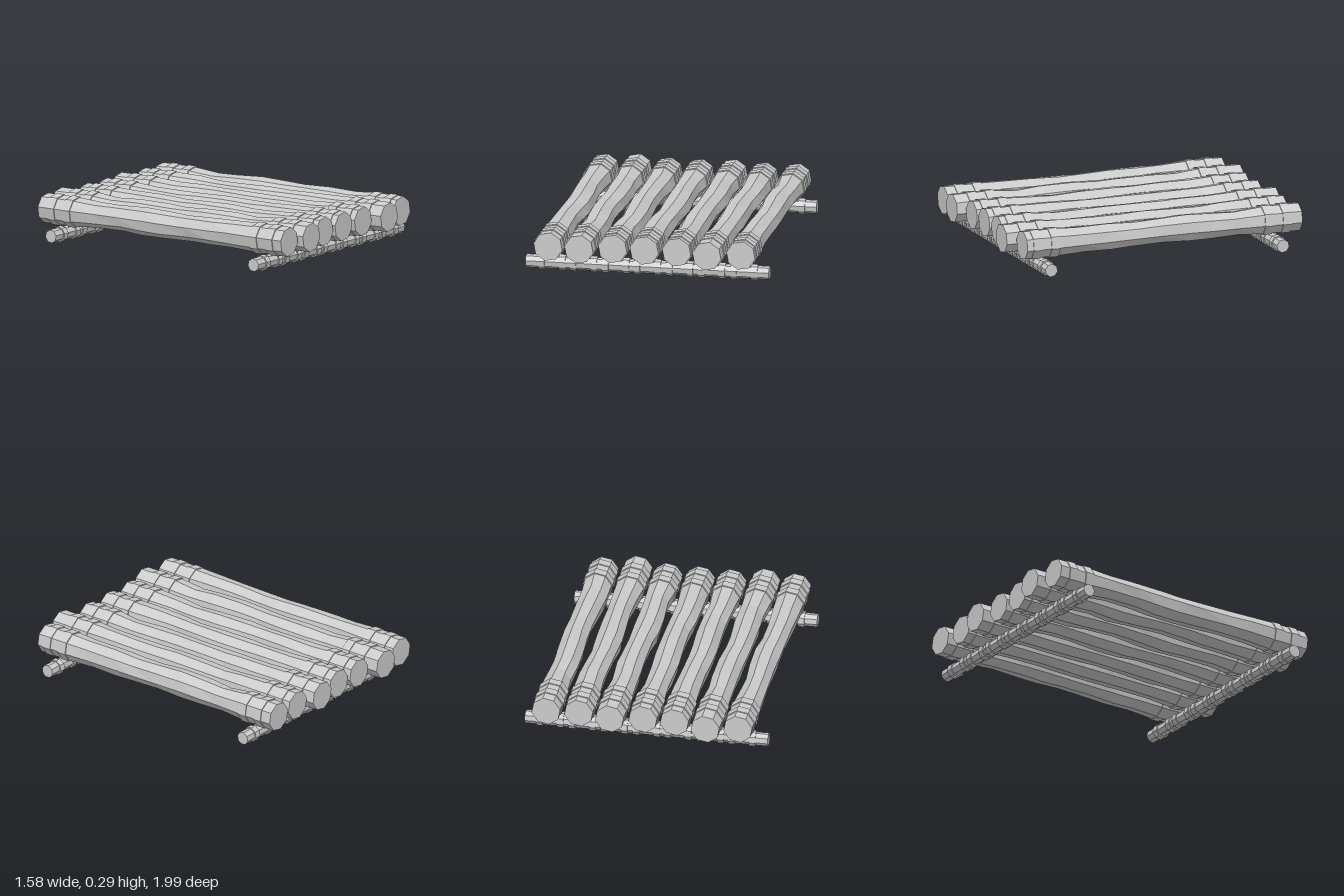
import * as THREE from 'three';

const SIDES = 8;
const LASH_Z = 0.8;
const LOG_Y = 0.192;
const POLE_Y = 0.05;
const material = new THREE.MeshStandardMaterial({ color: 0xcccccc, flatShading: true });

// x centre, back end and front end of each log
const LOGS = [
  [-0.62, -0.96, 0.96], [-0.415, -1, 0.985], [-0.205, -0.95, 0.935], [0, -0.95, 0.935],
  [0.21, -0.985, 0.935], [0.417, -0.95, 0.99], [0.627, -0.965, 0.935],
];

function addMesh(parent, name, geometry, x, y, z) {
  const mesh = new THREE.Mesh(geometry, material);
  mesh.name = name;
  mesh.position.set(x, y, z);
  parent.add(mesh);
}

// Octagonal prism along z, turned so one corner sits just right of the top
function prismZ(radius, length, rows = 1) {
  const start = THREE.MathUtils.degToRad(33);
  return new THREE.CylinderGeometry(radius, radius, length, SIDES, rows, false, start).rotateX(Math.PI / 2);
}

// Log with straight ends and an uneven, slightly thinner middle
function logGeometry(back, front, seed) {
  const rows = 10;
  const geometry = prismZ(0.095, rows, rows);
  const p = geometry.attributes.position;
  for (let i = 0; i < p.count; i++) {
    const k = Math.round(p.getZ(i));
    let x = p.getX(i), y = p.getY(i), z;
    if (Math.abs(k) === 5) z = k < 0 ? back : front;
    else {
      z = 0.72 * k / 4;
      if (Math.abs(k) < 4) {
        const angle = Math.atan2(y, x);
        const scale = 0.9 + 0.045 * Math.sin(k * 1.7 + seed * 2.3) + 0.03 * Math.sin(2 * angle + k * 2.1 + seed);
        x = x * scale + 0.006 * Math.sin(k * 1.3 + seed * 1.9);
        y = y * scale + 0.003 * Math.cos(k * 1.1 + seed * 2.7);
        z += 0.03 * Math.sin(angle + k * 2 + seed);
      }
    }
    p.setXYZ(i, x, y, z);
  }
  geometry.computeVertexNormals();
  return geometry;
}

export function createModel() {
  const raft = new THREE.Group();
  raft.name = 'logRaft';

  // Deck logs, each with two rope bands at either end
  const band = prismZ(0.101, 0.06);
  LOGS.forEach(([x, back, front], i) => {
    const log = new THREE.Group();
    log.name = `deckLog${i + 1}`;
    log.position.set(x, LOG_Y, 0);
    addMesh(log, 'log', logGeometry(back, front, i + 1), 0, 0, 0);
    for (const end of [-1, 1]) {
      for (const offset of [-0.062, 0.062]) addMesh(log, 'logRopeBand', band, 0, 0, end * LASH_Z + offset);
    }
    raft.add(log);
  });

  // Cross poles below the deck, with rope bands beside every log
  const pole = prismZ(0.043, 1.58).rotateY(Math.PI / 2);
  const poleBand = prismZ(0.051, 0.042).rotateY(Math.PI / 2);
  for (const end of [-1, 1]) {
    const group = new THREE.Group();
    group.name = end < 0 ? 'backCrossPole' : 'frontCrossPole';
    group.position.set(0, POLE_Y, end * LASH_Z);
    addMesh(group, 'pole', pole, 0, 0, 0);
    for (const [x] of LOGS) {
      for (const offset of [-0.067, 0.067]) addMesh(group, 'poleRopeBand', poleBand, x + offset, 0, 0);
    }
    raft.add(group);
  }
  return raft;
}
